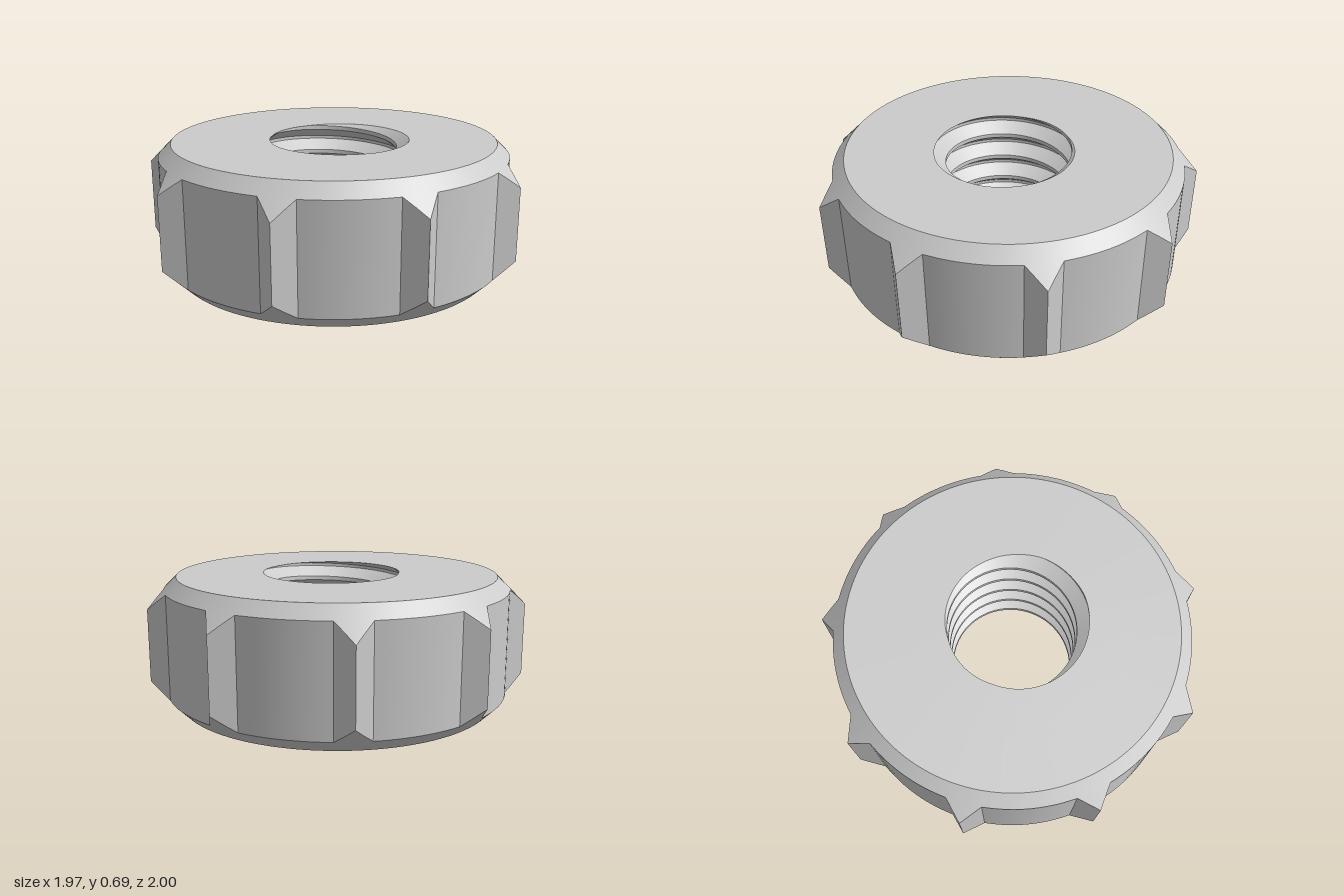
import * as THREE from 'three';
import { toCreasedNormals } from 'three/addons/utils/BufferGeometryUtils.js';

const H = 0.695;                          // thickness of the nut
const FACE = 0.86, RIM = 0.927, TIP = 1.015; // flat face, outer wall and tooth tip radii
const TEETH = 9;
const CREST = 0.335, ROOT = 0.405, PITCH = 0.14; // internal thread
const START = H - 0.75 * PITCH;           // thread groove leaves the top face at +z
const TURN = Math.PI * 2;

// Outer radius: round wall with straight-sided pointed teeth
function outerRadius(offset) {
  const d = Math.abs(offset);
  return Math.max(RIM, TIP / (Math.cos(d) + 1.022 * Math.sin(d)));
}

// Radius of the helical thread at angle t and height y (flat crest, flat root)
function threadRadius(t, y) {
  const u = (y - START) / PITCH - t / TURN;
  const d = Math.abs(u - Math.round(u));
  const k = THREE.MathUtils.clamp((d - 0.06) / 0.36, 0, 1);
  return ROOT + (CREST - ROOT) * k;
}

// Skin a list of columns { t, points: [[radius, y], ...] } around the axis
function loft(columns, crease) {
  const pos = [];
  const tri = new THREE.Triangle();
  const at = (c, i) => {
    const [r, y] = c.points[i];
    return new THREE.Vector3(r * Math.cos(c.t), y, -r * Math.sin(c.t));
  };
  const add = (a, b, c) => {
    if (tri.set(a, b, c).getArea() < 1e-8) return;
    for (const p of [a, b, c]) pos.push(p.x, p.y, p.z);
  };
  for (let j = 0; j < columns.length - 1; j++) {
    const p = columns[j], q = columns[j + 1];
    for (let i = 0; i < p.points.length - 1; i++) {
      add(at(p, i), at(q, i), at(q, i + 1));
      add(at(p, i), at(q, i + 1), at(p, i + 1));
    }
  }
  const geometry = new THREE.BufferGeometry();
  geometry.setAttribute('position', new THREE.Float32BufferAttribute(pos, 3));
  return toCreasedNormals(geometry, crease);
}

export function createModel() {
  const group = new THREE.Group();
  group.name = 'knurledNut';
  const material = new THREE.MeshStandardMaterial({ color: 0xcccccc });

  // Angles: fine steps over each tooth, then the arc to the next one
  const half = Math.atan2(0.09, 0.923);
  const sector = TURN / TEETH;
  const offsets = [-half, -half / 2, 0, half / 2];
  const ARC = 12;
  for (let i = 0; i < ARC; i++) offsets.push(half + (sector - 2 * half) * i / ARC);
  const angles = [];
  for (let n = 0; n < TEETH; n++) {
    for (const o of offsets) angles.push({ t: n * sector + o, o: Math.min(o, sector - o) });
  }
  angles.push({ t: TURN - half, o: -half });

  // Chamfered, toothed body with both flat faces
  const bodyColumns = angles.map(({ t, o }) => {
    const R = outerRadius(o), drop = R - FACE;
    return {
      t,
      points: [
        [threadRadius(t, 0), 0], [FACE, 0], [R, drop],
        [R, H - drop], [FACE, H], [threadRadius(t, H), H],
      ],
    };
  });
  const body = new THREE.Mesh(loft(bodyColumns, 0.35), material);
  body.name = 'toothedBody';

  // Helical thread lining the bore, cut off level with the faces
  const threadColumns = angles.map(({ t }) => {
    const points = [[threadRadius(t, H), H]];
    for (let k = 2; k >= -8; k--) {
      for (const c of [0.42, 0.06, -0.06, -0.42]) {
        const y = THREE.MathUtils.clamp(START + PITCH * (k + t / TURN + c), 0, H);
        points.push([threadRadius(t, y), y]);
      }
    }
    points.push([threadRadius(t, 0), 0]);
    return { t, points };
  });
  const thread = new THREE.Mesh(loft(threadColumns, 0.5), material);
  thread.name = 'internalThread';

  group.add(body, thread);
  // The odd tooth count puts the bore slightly off the middle of the bounds
  group.children.forEach((m) => { m.position.x = -0.03; });
  return group;
}
